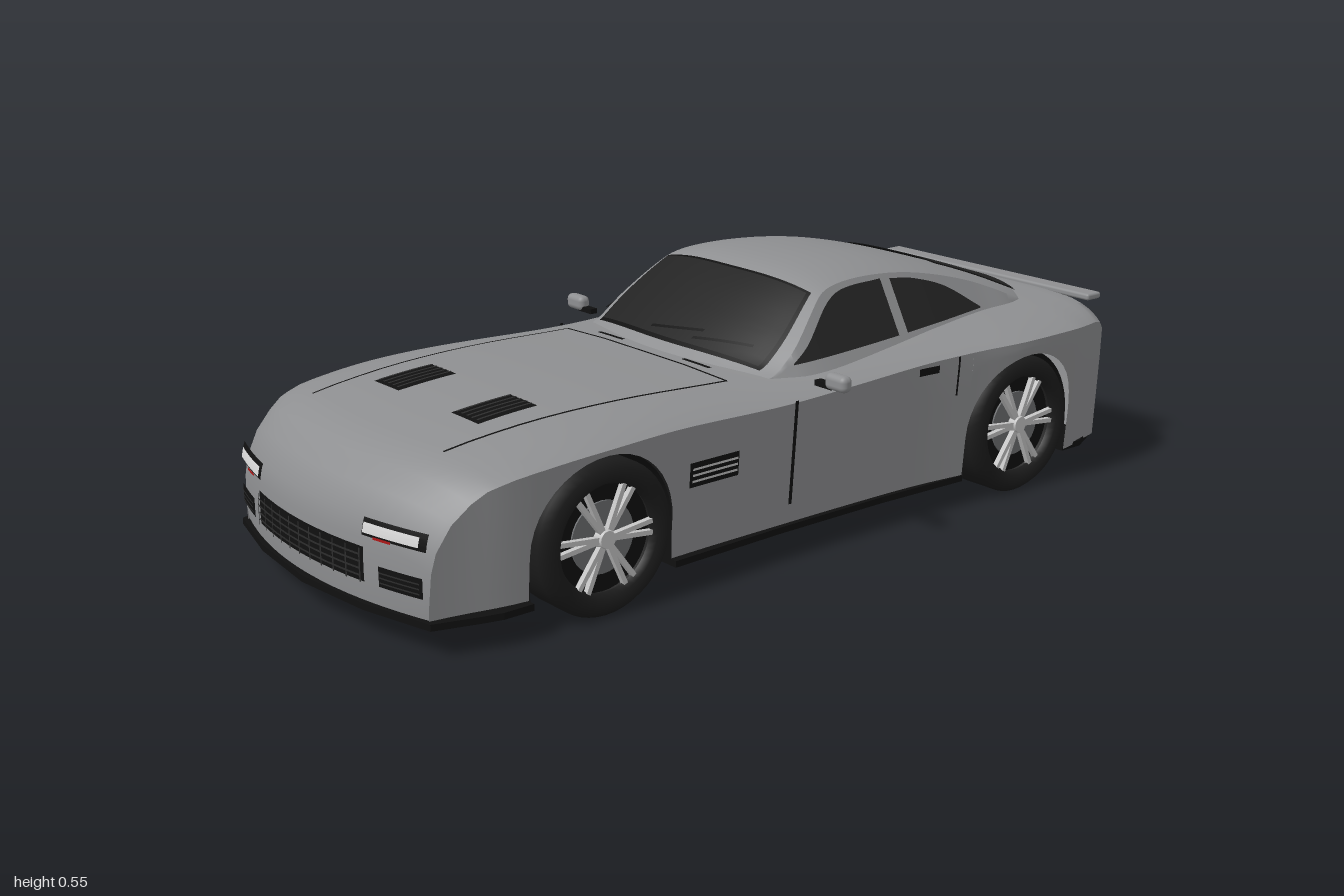
import * as THREE from 'three';
import { toCreasedNormals } from 'three/addons/utils/BufferGeometryUtils.js';
import { RoundedBoxGeometry } from 'three/addons/geometries/RoundedBoxGeometry.js';

const mat = (name, color) => new THREE.MeshStandardMaterial({ name, color, side: THREE.DoubleSide });
const M = {
  paint: mat('grey paint', 0x8e8f91), black: mat('black trim', 0x101010), tyre: mat('rubber', 0x1b1b1b),
  glass: mat('dark glass', 0x232323), chrome: mat('chrome', 0xc4c4c4), lamp: mat('lamp', 0xd8d8d8),
  red: mat('red lamp', 0xa81414), disc: mat('brake disc', 0x6c6e70), bar: mat('grille bar', 0x2c2c2c),
};
const mix = THREE.MathUtils.lerp, smooth = THREE.MathUtils.smoothstep, clamp = THREE.MathUtils.clamp;

// Smooth curve through [key, value] points, keys ascending
function at(p, t) {
  const n = p.length - 1;
  t = clamp(t, p[0][0], p[n][0]);
  let i = 0;
  while (i < n - 1 && t > p[i + 1][0]) i++;
  const slope = k => {
    const a = p[Math.max(k - 1, 0)], b = p[Math.min(k + 1, n)];
    return (b[1] - a[1]) / (b[0] - a[0]);
  };
  const d = p[i + 1][0] - p[i][0], u = (t - p[i][0]) / d, v = 1 - u;
  return p[i][1] * v * v * (1 + 2 * u) + p[i + 1][1] * u * u * (3 - 2 * u) + d * u * v * (slope(i) * v - slope(i + 1) * u);
}

// Surface through rows of points
function loft(rows, crease = 0.7) {
  const g = new THREE.BufferGeometry(), c = rows[0].length, idx = [];
  g.setAttribute('position', new THREE.Float32BufferAttribute(rows.flat(2), 3));
  for (let i = 0; i < rows.length - 1; i++) for (let j = 0; j < c - 1; j++) {
    const a = i * c + j, b = a + c;
    idx.push(a, b, a + 1, b, b + 1, a + 1);
  }
  g.setIndex(idx);
  return toCreasedNormals(g, crease);
}
const range = (a, b, n) => Array.from({ length: n + 1 }, (_, i) => mix(a, b, i / n));
const patch = (fn, nu = 8, nv = 8) => loft(range(0, 1, nu).map(u => range(0, 1, nv).map(v => fn(u, v))));

// Lower body: half width and height along z, nose and tail outlines
const W = [[-.97, .405], [-.9, .425], [-.8, .442], [-.6, .452], [-.45, .432], [-.3, .415], [-.1, .41], [.1, .41],
  [.35, .413], [.55, .423], [.7, .417], [.85, .4], [1, .375]];
const H = [[-.93, .393], [-.8, .398], [-.6, .4], [-.4, .395], [-.1, .38], [.1, .374], [.4, .381], [.6, .376], [.75, .362], [.86, .345]];
const nose = [[.066, .985], [.12, .99], [.2, .988], [.24, .98], [.29, .953], [.325, .91], [.345, .86]];
const tail = [[.066, -.935], [.1, -.945], [.2, -.962], [.3, -.97], [.37, -.968], [.388, -.955], [.393, -.93]];
const AXLES = [.56, -.615], ARCH = .172, FLOOR = .065;
const bend = (z, x) => {
  const f = (x / .39) ** 2;
  return z > 0 ? z - .07 * smooth(z, .74, .96) * f : z + .045 * smooth(-z, .74, .95) * f * f;
};
const sideX = (y, z) => at(W, z) * (.945 + .055 * clamp((y - .065) / .28, 0, 1));
const topY = (x, z) => at(H, z) - .035 * Math.abs(x / at(W, z)) ** 5;
const frontAt = (x, y, o) => [x, y, bend(at(nose, y), x) + o];
const rearAt = (x, y, o) => [x, y, bend(at(tail, y), x) - o];

function bodyGeometry() {
  const arch = c => [[c + ARCH, FLOOR], ...range(0, Math.PI, 20).map(a => [c + ARCH * Math.cos(a), .16 + ARCH * Math.sin(a)]), [c - ARCH, FLOOR]];
  const plain = zs => zs.map(z => [z, FLOOR]);
  const mid = [...plain([.82, .77]), ...arch(AXLES[0]), ...plain(range(.34, -.4, 14)), ...arch(AXLES[1]), ...plain([-.82, -.86, -.9])];
  const stations = [...nose.map(([h, z]) => [z, FLOOR, h]), ...mid.map(([z, b]) => [z, b, at(H, z)]),
    ...tail.slice().reverse().map(([h, z]) => [z, FLOOR, h])];
  return loft(stations.map(([z, b, h]) => {
    const r = Math.min(.035, (h - FLOOR) * .4), e = sideX(h - r, z);
    const side = range(b, h - r, 6).slice(0, 6).map(y => [sideX(y, z), y]);
    const top = range(1, -1, 24).map(t => Math.sin(t * Math.PI / 2)).map(f => [f * e, h - r * Math.abs(f) ** 5]);
    return [...side, ...top, ...side.slice().reverse().map(([x, y]) => [-x, y])].map(([x, y]) => [x, y, bend(z, x)]);
  }));
}

// Cabin: roof line and belt half width along z
const ROOF = [[-.95, .375], [-.9, .398], [-.82, .425], [-.7, .465], [-.55, .51], [-.42, .538], [-.3, .55], [-.2, .549],
  [-.13, .537], [-.08, .51], [0, .455], [.08, .395], [.12, .365]];
const BELT = [[-.95, .17], [-.9, .23], [-.8, .275], [-.65, .29], [-.45, .315], [-.2, .335], [0, .335], [.12, .3]];
const cabinX = (y, s) => at(BELT, s) - .56 * (y - .37);
const cabinZ = (s, f) => s - .045 * smooth(s, -.25, .1) * f * f + .05 * smooth(-s, .6, .92) * f * f;
function cabinTop(s, f, o = 0) {
  const h = at(ROOF, s), r = Math.min(.025, (h - .35) * .5);
  return [f * cabinX(h - r, s), h - r * Math.abs(f) ** 3 + o, cabinZ(s, f) + (s > -.3 ? o : -o * .3)];
}
const cabinGeometry = () => loft(range(.12, -.95, 60).map(s => {
  const edge = cabinTop(s, 1);
  const side = range(.35, edge[1], 5).slice(0, 5).map(y => [cabinX(y, s), y, edge[2]]);
  const top = range(1, -1, 24).map(t => cabinTop(s, Math.sin(t * Math.PI / 2)));
  return [...side, ...top, ...side.slice().reverse().map(([x, y, z]) => [-x, y, z])];
}));

export function createModel() {
  const car = new THREE.Group();
  car.name = 'sportsCar';
  const add = (name, geo, m, x = 0, y = 0, z = 0, parent = car) => {
    const mesh = new THREE.Mesh(geo, m);
    mesh.name = name;
    mesh.position.set(x, y, z);
    parent.add(mesh);
    return mesh;
  };
  const box = (w, h, d) => new THREE.BoxGeometry(w, h, d);
  const front = (name, m, x0, x1, y0, y1, o = .006) => add(name, patch((u, v) => frontAt(mix(x1, x0, v), mix(y0, y1, u), o)), m);
  const rear = (name, m, x0, x1, y0, y1, o = .005) => add(name, patch((u, v) => rearAt(mix(x1, x0, v), mix(y1, y0, u), o)), m);
  const flank = (name, m, s, z0, z1, y0, y1, o = .004) => add(name, patch((u, v) => {
    const z = mix(z1, z0, u), y = mix(y0, y1, s > 0 ? v : 1 - v);
    return [s * (sideX(y, z) + o), y, z];
  }), m);
  const hood = (name, m, [xa, za], [xb, zb], w, o = .003) => add(name, patch((u, v) => {
    const x = mix(xa, xb, u) + mix(w, -w, v), z = mix(za, zb, u);
    return [x, topY(x, z) + o, z];
  }, 12, 4), m);

  add('body', bodyGeometry(), M.paint);
  add('cabin', cabinGeometry(), M.paint);

  // Windscreen, rear window and wipers
  const screen = (name, m, s0, s1, f0, f1, o) => add(name, patch((u, v) => cabinTop(mix(s0, s1, u), mix(f0, f1, u) * (1 - 2 * v), o), 20, 20), m);
  screen('windscreenSeal', M.black, .088, -.112, .9, .93, .003);
  screen('windscreen', M.glass, .08, -.105, .87, .9, .005);
  screen('rearWindowSeal', M.black, -.6, -.885, .64, .78, .003);
  screen('rearWindow', M.glass, -.61, -.875, .61, .75, .005);
  for (const f of [-.2, .25]) add('wiper', patch((u, v) => cabinTop(mix(.07, .05, u) - .006 * v, f + .5 * u, .008), 8, 1), M.black);

  // Underside with notches for the wheels, forming the sill and splitter
  const edge = [[1, .37], [.9, .4], [.8, .41]];
  AXLES.forEach((c, i) => {
    edge.push([c + ARCH, .41], [c + ARCH, .26], [c - ARCH, .26], [c - ARCH, .41]);
    if (!i) edge.push([.1, .4], [-.2, .4]);
  });
  edge.push([-.85, .41], [-.935, .37]);
  const outline = edge.map(([z, x]) => [x, z > .85 ? bend(z, x) : z]);
  const plan = [[0, 1], [.2, .98], ...outline, ...outline.slice().reverse().map(([x, z]) => [-x, z]), [-.2, .98]];
  const floor = new THREE.ExtrudeGeometry(new THREE.Shape(plan.map(([x, z]) => new THREE.Vector2(x, -z))), { depth: .014, bevelEnabled: false });
  add('floor', floor.rotateX(-Math.PI / 2), M.black, 0, .057, 0);

  // Wheels and wheel wells
  const tyreGeo = new THREE.LatheGeometry([[.11, -.05], [.118, -.062], [.146, -.062], [.16, -.045], [.16, .045], [.146, .062], [.118, .062], [.11, .045]]
    .map(p => new THREE.Vector2(...p)), 48);
  AXLES.forEach((c, i) => [1, -1].forEach(s => {
    const wheel = new THREE.Group();
    wheel.name = i ? 'rearWheel' : 'frontWheel';
    wheel.position.set(s * (i ? .37 : .36), .16, c);
    wheel.rotation.z = -s * Math.PI / 2;
    add('tyre', tyreGeo, M.tyre, 0, 0, 0, wheel);
    add('barrel', new THREE.CylinderGeometry(.113, .113, .07, 40), M.black, 0, 0, 0, wheel);
    add('brakeDisc', new THREE.CylinderGeometry(.075, .075, .01, 32), M.disc, 0, .034, 0, wheel);
    add('hub', new THREE.CylinderGeometry(.018, .024, .02, 16), M.chrome, 0, .047, 0, wheel);
    for (let k = 0; k < 12; k++) {
      const a = Math.floor(k / 2) * Math.PI / 3 + (k % 2 ? .11 : -.11);
      add('spoke', box(.01, .012, .1), M.chrome, .065 * Math.sin(a), .046, .065 * Math.cos(a), wheel).rotation.y = a;
    }
    car.add(wheel);
    add('wheelWell', patch((u, v) => {
      const a = mix(-.5, Math.PI + .5, u), b = clamp(a, 0, Math.PI);
      return [s * mix(.26, i ? .412 : .397, v), .16 + ARCH * Math.sin(b) - Math.abs(a - b) * .19, c + ARCH * Math.cos(b)];
    }, 32, 1), M.black);
    add('wellWall', new THREE.PlaneGeometry(.344, .267), M.black, s * .26, .198, c).rotation.y = s * Math.PI / 2;
  }));

  // Side windows, shut lines, vents, handles and mirrors
  const panes = [[[-.325, .515], [-.2, .512], [-.14, .49], [-.05, .42], [0, .392]], [[-.63, .408], [-.53, .468], [-.43, .5], [-.355, .511]]];
  for (const s of [1, -1]) {
    panes.forEach((p, i) => add(i ? 'rearSideWindow' : 'doorWindow', patch((u, v) => {
      const z = mix(p[p.length - 1][0], p[0][0], u), low = mix(.39, .405, -z / .63);
      const y = mix(low, Math.max(at(p, z), low), s > 0 ? v : 1 - v);
      return [s * (cabinX(y, z) + .004), y, z];
    }, 20, 4), M.glass));
    flank('doorFrontLine', M.black, s, .064, .073, .115, .345);
    flank('doorRearLine', M.black, s, -.402, -.397, .27, .36);
    flank('sideVent', M.black, s, .22, .35, .215, .268);
    for (const y of [.228, .241, .254]) flank('ventSlat', M.chrome, s, .225, .345, y - .002, y + .003, .007);
    flank('doorHandle', M.black, s, -.34, -.283, .333, .35, .008);
    add('mirror', new RoundedBoxGeometry(.062, .036, .03, 3, .013), M.paint, s * .452, .378, -.01);
    add('mirrorArm', box(.05, .012, .018), M.black, s * .415, .366, -.01);
    // Bonnet lines and louvres
    hood('bonnetSideLine', M.black, [s * .25, .82], [s * .28, .145], .003);
    hood('bonnetVent', M.black, [s * .147, .705], [s * .147, .565], .048);
    for (const x of [-.036, -.018, 0, .018, .036]) hood('louvre', M.bar, [s * .147 + x, .7], [s * .147 + x, .57], .003, .007);
    hood('cowlVent', M.black, [s * .15, .125], [s * .15, .115], .045, .004);
    // Headlamps and lower intakes
    const f = (name, m, a, b, ...r) => front(name, m, Math.min(s * a, s * b), Math.max(s * a, s * b), ...r);
    f('headlampFrame', M.black, .2, .36, .208, .242, .006);
    f('headlamp', M.lamp, .206, .345, .215, .235, .01);
    f('indicator', M.red, .235, .28, .207, .212, .01);
    f('lowerIntake', M.black, .245, .352, .115, .156);
    for (const y of [.125, .135, .145]) f('intakeBar', M.bar, .25, .347, y - .0015, y + .0015, .009);
    // Tail lamps and exhausts
    rear('tailLamp', M.red, Math.min(s * .11, s * .34), Math.max(s * .11, s * .34), .318, .336, .008);
    for (const x of [.195, .25]) {
      add('exhaust', new THREE.CylinderGeometry(.022, .022, .06, 24, 1, true), M.chrome, s * x, .125, -.955).rotation.x = Math.PI / 2;
      add('exhaustBore', new THREE.CircleGeometry(.021, 24), M.black, s * x, .125, -.975).rotation.y = Math.PI;
    }
  }
  hood('bonnetRearLine', M.black, [0, .149], [0, .143], .28);

  // Grille
  front('grille', M.black, -.205, .205, .115, .185);
  for (const y of [.128, .142, .156, .17]) front('grilleBar', M.bar, -.2, .2, y - .002, y + .002, .01);
  for (const x of range(-.2, .2, 10)) front('grilleUpright', M.bar, x - .002, x + .002, .115, .183, .011);

  // Tail: lamp band, number plate, diffuser and spoiler
  rear('lampBand', M.black, -.355, .355, .308, .345);
  add('plateFrame', box(.17, .056, .026), M.black, 0, .23, -.978);
  add('plate', box(.15, .04, .008), M.lamp, 0, .23, -.992);
  rear('diffuser', M.black, -.3, .3, .075, .145);
  for (const x of range(-.15, .15, 6)) add('diffuserFin', box(.008, .06, .025), M.bar, x, .108, -.952);
  add('spoiler', new RoundedBoxGeometry(.68, .016, .048, 3, .006), M.paint, 0, .392, -.962);
  return car;
}
